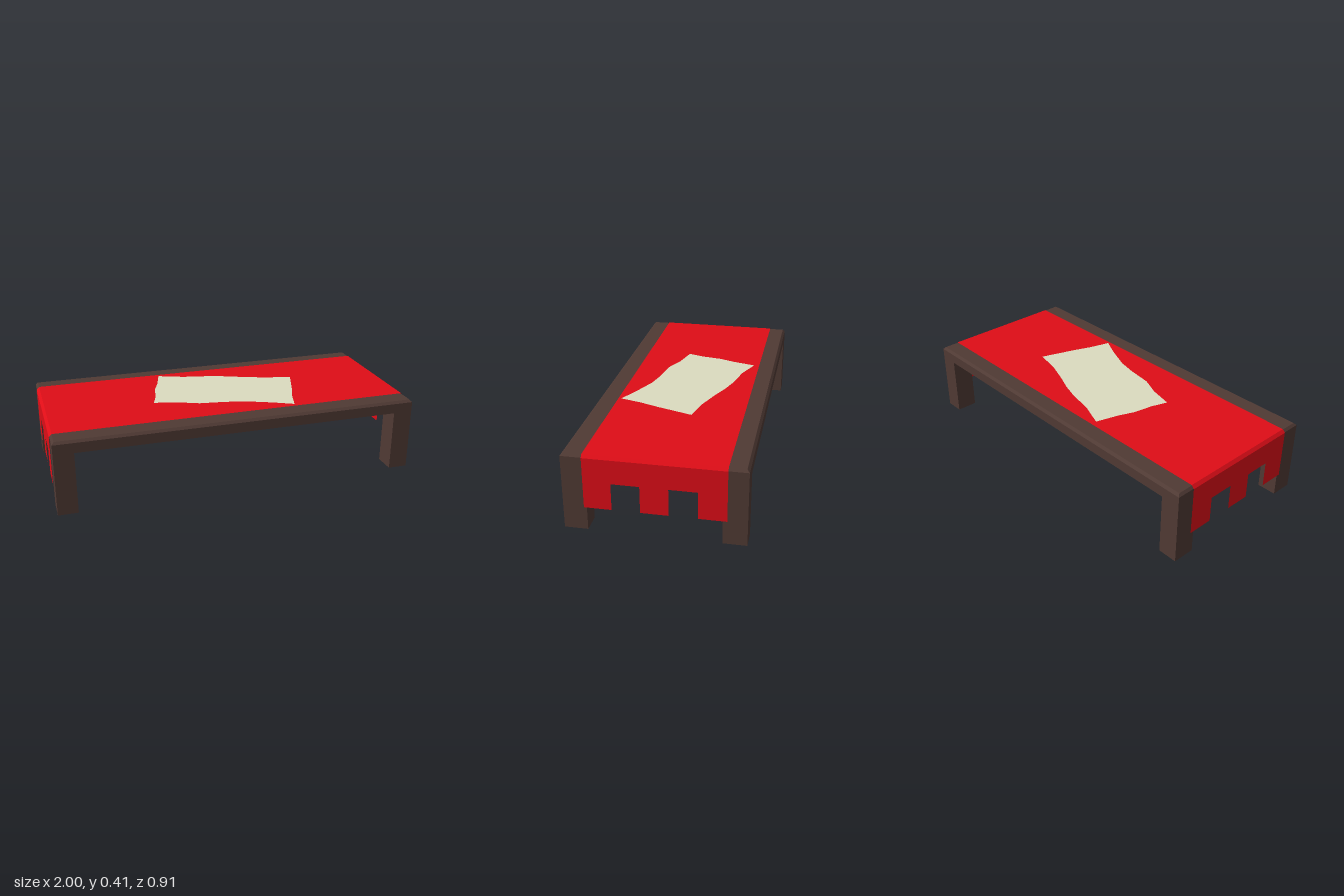
import * as THREE from 'three';

const material = (color) =>
  new THREE.MeshStandardMaterial({ color, flatShading: true, side: THREE.DoubleSide });

// Flat-shaded surface from four-cornered faces
function quadGeometry(quads) {
  const pos = [];
  for (const [a, b, c, d] of quads) pos.push(...a, ...b, ...c, ...a, ...c, ...d);
  const geo = new THREE.BufferGeometry();
  geo.setAttribute('position', new THREE.Float32BufferAttribute(pos, 3));
  geo.computeVertexNormals();
  return geo;
}

export function createModel() {
  const model = new THREE.Group();
  const wood = material(0x503a34);
  const red = material(0xdf0d17);
  const paper = material(0xdcdcc0);

  const add = (name, geo, mat, parent = model) => {
    const mesh = new THREE.Mesh(geo, mat);
    mesh.name = name;
    parent.add(mesh);
    return mesh;
  };

  const X = 0.997, Z = 0.453;           // outer half size
  const XT = 0.985, ZT = 0.44;          // top half size inside the bevel
  const yRail = 0.34, yEdge = 0.395, yTop = 0.408;
  const legX = 0.107, legZ = 0.12, inner = 0.34;

  // Legs
  const legs = new THREE.Group();
  legs.name = 'legs';
  model.add(legs);
  for (const sx of [-1, 1]) for (const sz of [-1, 1]) {
    add('leg', new THREE.BoxGeometry(legX, yEdge, legZ), wood, legs)
      .position.set(sx * (X - legX / 2), yEdge / 2, sz * (Z - legZ / 2));
  }

  // Long side rails: thin wall, bevelled edge and top strip
  for (const s of [-1, 1]) {
    const xl = X - legX;
    const quads = [
      [[-xl, yRail, s * Z], [xl, yRail, s * Z], [xl, yEdge, s * Z], [-xl, yEdge, s * Z]],
      [[-X, yEdge, s * Z], [X, yEdge, s * Z], [XT, yTop, s * ZT], [-XT, yTop, s * ZT]],
      [[-XT, yTop, s * ZT], [XT, yTop, s * ZT], [XT, yTop, s * inner], [-XT, yTop, s * inner]],
    ];
    for (const e of [-1, 1]) {
      quads.push([[e * X, yEdge, s * Z], [e * XT, yTop, s * ZT],
        [e * XT, yTop, s * inner], [e * X, yEdge, s * inner]]);
    }
    add(s > 0 ? 'frontRail' : 'backRail', quadGeometry(quads), wood);
  }

  // Cloth runner lying across the frame and folding over both ends
  const zf = 0.347, zb = -0.355, yCloth = 0.411, xc = 1.0;
  const fold = [[-xc, yEdge], [-XT, yCloth], [XT, yCloth], [xc, yEdge]];
  add('clothRunner', quadGeometry(fold.slice(1).map(([x1, y1], i) => {
    const [x0, y0] = fold[i];
    return [[x0, y0, zf], [x1, y1, zf], [x1, y1, zb], [x0, y0, zb]];
  })), red);

  // Hanging cloth ends with notched hem
  const hem = 0.125, notch = 0.268;
  const edges = [zf, 0.208, 0.067, -0.073, -0.215, zb];
  const outline = [[zf, yEdge]];
  for (let i = 0; i < edges.length; i += 2) {
    if (i > 0) outline.push([edges[i], notch]);
    outline.push([edges[i], hem], [edges[i + 1], hem]);
    if (i + 2 < edges.length) outline.push([edges[i + 1], notch]);
  }
  outline.push([zb, yEdge]);
  const drop = new THREE.ShapeGeometry(
    new THREE.Shape(outline.map(([z, y]) => new THREE.Vector2(-z, y))));
  drop.rotateY(Math.PI / 2);
  for (const s of [-1, 1]) add('clothDrop', drop, red).position.x = s * xc;

  // Paper sheet with uneven edges, turned slightly on the cloth
  const sheet = [
    [-0.28, -0.325], [-0.14, -0.27], [0, -0.24], [0.1, -0.208], [0.2, -0.165], [0.335, -0.115],
    [0.475, -0.085], [0.44, 0.02], [0.41, 0.11], [0.37, 0.215],
    [0.338, 0.33], [0.23, 0.275], [0.09, 0.215], [-0.02, 0.19], [-0.16, 0.17], [-0.27, 0.122],
    [-0.4, 0.09], [-0.37, 0], [-0.35, -0.11], [-0.315, -0.2],
  ];
  const sheetGeo = new THREE.ShapeGeometry(
    new THREE.Shape(sheet.map(([x, z]) => new THREE.Vector2(x, -z))));
  sheetGeo.rotateX(-Math.PI / 2);
  add('paperSheet', sheetGeo, paper).position.y = yCloth + 0.003;

  return model;
}
